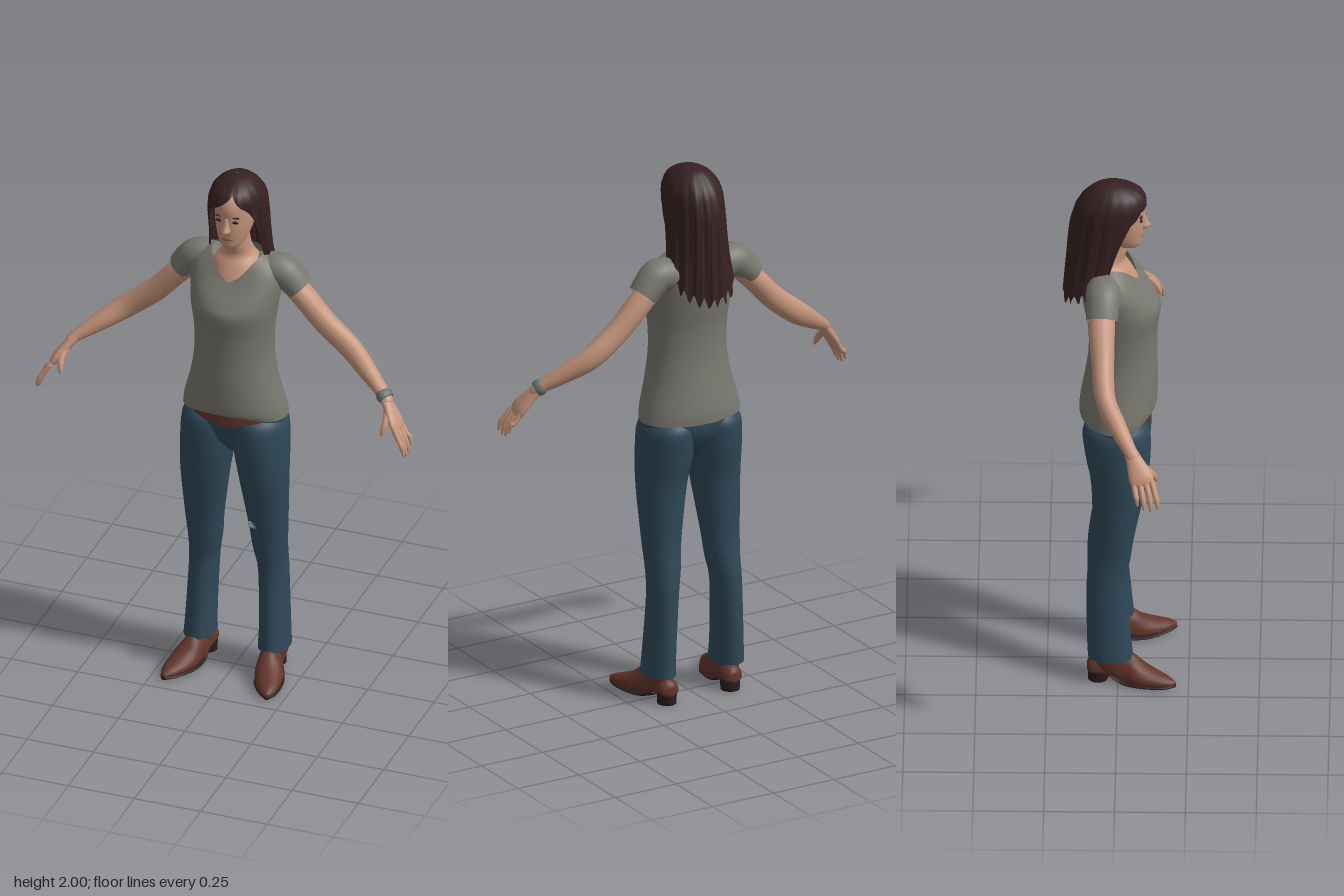
import * as THREE from 'three';

const mat = (name, color, side = THREE.FrontSide) => {
  const m = new THREE.MeshStandardMaterial({ color, side });
  m.name = name;
  return m;
};

// Smooth grid surface; point(i, j) gives a position, columns may wrap round.
function grid(rows, cols, wrap, point, caps = false) {
  const pos = [], idx = [];
  for (let i = 0; i < rows; i++) for (let j = 0; j < cols; j++) pos.push(...point(i, j));
  for (let i = 0; i < rows - 1; i++) {
    for (let j = 0; j < (wrap ? cols : cols - 1); j++) {
      const a = i * cols + j, b = i * cols + (j + 1) % cols, c = a + cols, d = b + cols;
      idx.push(a, c, b, b, c, d);
    }
  }
  if (caps) {
    for (const row of [0, rows - 1]) {
      const centre = [0, 0, 0], k = pos.length / 3;
      for (let j = 0; j < cols; j++) for (let c = 0; c < 3; c++) centre[c] += pos[(row * cols + j) * 3 + c] / cols;
      pos.push(...centre);
      for (let j = 0; j < cols; j++) {
        const a = row * cols + j, b = row * cols + (j + 1) % cols;
        if (row === 0) idx.push(k, a, b); else idx.push(k, b, a);
      }
    }
  }
  const g = new THREE.BufferGeometry();
  g.setAttribute('position', new THREE.Float32BufferAttribute(pos, 3));
  g.setIndex(idx);
  g.computeVertexNormals();
  return g;
}

// Catmull-Rom refinement of a list of cross-sections.
function refine(keys, steps) {
  const out = [], n = keys.length, at = i => keys[Math.min(Math.max(i, 0), n - 1)];
  for (let i = 0; i < n - 1; i++) {
    for (let s = 0; s < steps; s++) {
      const t = s / steps;
      out.push(keys[i].map((_, k) => {
        const [a, b, c, d] = [at(i - 1)[k], at(i)[k], at(i + 1)[k], at(i + 2)[k]];
        return b + 0.5 * t * (c - a + t * (2 * a - 5 * b + 4 * c - d + t * (3 * (b - c) + d - a)));
      }));
    }
  }
  out.push(keys[n - 1]);
  return out;
}

// Sections are [x, y, z, width, front, back, lift]. Without a hint the sections
// lie flat and rise in y; with a hint they stand square to their path.
function loft(keys, { hint = null, n = 28, steps = 5, caps = true } = {}) {
  const rings = refine(keys.map(([x, y, z, a, f, b = f, lift = 0]) => [x, y, z, a, f, b, lift]), steps);
  const centre = rings.map(r => new THREE.Vector3(r[0], r[1], r[2]));
  const frames = rings.map((_, i) => {
    if (!hint) return [new THREE.Vector3(1, 0, 0), new THREE.Vector3(0, 0, 1)];
    const t = centre[Math.min(i + 1, rings.length - 1)].clone().sub(centre[Math.max(i - 1, 0)]).normalize();
    const u = new THREE.Vector3(...hint);
    u.addScaledVector(t, -u.dot(t)).normalize();
    return [u, u.clone().cross(t)];
  });
  return grid(rings.length, n, true, (i, j) => {
    const q = j / n * Math.PI * 2, c = Math.cos(q), s = Math.sin(q), r = rings[i];
    const p = centre[i].clone().addScaledVector(frames[i][0], r[3] * c)
      .addScaledVector(frames[i][1], (s > 0 ? r[4] : r[5]) * s);
    p.y += r[6] * Math.max(0, s) ** 3;
    return p.toArray();
  }, caps);
}

const blob = (x, y, z, rx, ry, rz) => new THREE.SphereGeometry(1, 16, 10).scale(rx, ry, rz).translate(x, y, z);

function mirrored(geometry) {
  const g = geometry.clone().scale(-1, 1, 1), ix = g.index;
  for (let i = 0; i < ix.count; i += 3) {
    const b = ix.getX(i + 1);
    ix.setX(i + 1, ix.getX(i + 2));
    ix.setX(i + 2, b);
  }
  g.computeVertexNormals();
  return g;
}

export function createModel() {
  const model = new THREE.Group();
  model.name = 'woman';
  const skin = mat('skin', 0xc4947a);
  const shirt = mat('greyCotton', 0x78776f, THREE.DoubleSide);
  const denim = mat('denim', 0x2f4858, THREE.DoubleSide);
  const hair = mat('darkHair', 0x352022, THREE.DoubleSide);
  const leather = mat('brownLeather', 0x63352a);
  const dark = mat('darkSole', 0x2a1c1c);
  const lip = mat('lips', 0x9c5f50);
  const metal = mat('bracelet', 0x6c746e);
  const worn = mat('wornDenim', 0x8d989c);

  const add = (name, geometry, material) => {
    const m = new THREE.Mesh(geometry, material);
    m.name = name;
    model.add(m);
  };
  const pair = (name, geometry, material) => {
    add(name + 'Left', geometry, material);
    add(name + 'Right', mirrored(geometry), material);
  };

  // Shirt: scooped neckline and a hem that lifts at the front
  add('shirtBody', loft([
    [0, 1.055, -0.01, 0.194, 0.135, 0.127, 0.03], [0, 1.1, -0.005, 0.186, 0.142, 0.13],
    [0, 1.2, 0, 0.16, 0.14, 0.118], [0, 1.3, 0, 0.145, 0.138, 0.105],
    [0, 1.4, 0, 0.147, 0.14, 0.107], [0, 1.49, 0, 0.158, 0.15, 0.122],
    [0, 1.55, -0.01, 0.165, 0.14, 0.12, -0.02], [0, 1.6, -0.03, 0.17, 0.135, 0.1, -0.04],
    [0, 1.65, -0.04, 0.152, 0.12, 0.085, -0.06], [0, 1.685, -0.04, 0.095, 0.108, 0.06, -0.08],
  ], { n: 40, caps: false }), shirt);
  pair('sleeve', loft([
    [0.08, 1.61, -0.05, 0.06, 0.06], [0.15, 1.622, -0.05, 0.063, 0.06],
    [0.19, 1.595, -0.053, 0.059, 0.056], [0.224, 1.56, -0.055, 0.056, 0.048],
  ], { hint: [0, 0, 1], caps: false }), shirt);

  // Neck and chest
  add('neck', loft([
    [0, 1.54, -0.03, 0.1, 0.12, 0.06], [0, 1.6, -0.035, 0.1, 0.107, 0.07],
    [0, 1.65, -0.04, 0.09, 0.085, 0.06], [0, 1.685, -0.035, 0.06, 0.06, 0.05],
    [0, 1.73, -0.02, 0.048, 0.052, 0.05], [0, 1.8, -0.01, 0.045, 0.045, 0.05],
  ]), skin);

  // Head and face
  add('head', loft([
    [0, 1.735, 0.045, 0.018, 0.022, 0.04], [0, 1.75, 0.03, 0.04, 0.05, 0.06],
    [0, 1.78, 0.015, 0.055, 0.07, 0.08], [0, 1.82, 0, 0.066, 0.09, 0.1],
    [0, 1.86, -0.01, 0.071, 0.1, 0.11], [0, 1.91, -0.015, 0.07, 0.107, 0.11],
    [0, 1.95, -0.02, 0.06, 0.09, 0.095], [0, 1.975, -0.02, 0.03, 0.045, 0.05],
  ]), skin);
  add('nose', loft([
    [0, 1.81, 0.086, 0.01, 0.006], [0, 1.822, 0.088, 0.016, 0.026],
    [0, 1.84, 0.088, 0.011, 0.017], [0, 1.872, 0.086, 0.007, 0.006],
  ], { n: 14 }), skin);
  add('lips', blob(0, 1.785, 0.082, 0.022, 0.007, 0.006), lip);
  pair('eye', blob(0.029, 1.857, 0.081, 0.014, 0.005, 0.005), dark);
  pair('eyebrow', blob(0.03, 1.875, 0.08, 0.018, 0.003, 0.006), hair);

  // Hair: [y, z, width, front, back, face opening, drop at the back]
  const locks = refine([
    [2, -0.02, 0.002, 0.002, 0.002, 0, 0], [1.99, -0.02, 0.04, 0.05, 0.05, 0, 0],
    [1.965, -0.02, 0.075, 0.1, 0.085, 0, 0], [1.93, -0.025, 0.095, 0.127, 0.112, 0.3, 0],
    [1.89, -0.03, 0.102, 0.128, 0.125, 0.75, 0], [1.84, -0.035, 0.104, 0.12, 0.135, 1, 0.02],
    [1.76, -0.05, 0.108, 0.09, 0.13, 1.1, 0.08], [1.69, -0.075, 0.12, 0.09, 0.117, 1.15, 0.16],
  ], 6);
  const strands = 97;
  add('longHair', grid(locks.length, strands, false, (i, j) => {
    const [y, z, w, f, b, openRaw, drop] = locks[i], open = Math.max(0, openRaw);
    const down = i / (locks.length - 1);
    const q = open + (2 * Math.PI - 2 * open) * j / (strands - 1) + 0.25 * Math.max(0, 1 - open);
    const wave = 1 + 0.035 * down * Math.sin(15 * q) + 0.015 * down * Math.sin(37 * q + 9 * down);
    const jag = down ** 8 * 0.018 * Math.sin(21 * q);
    const c = Math.cos(q);
    return [w * wave * Math.sin(q), y - drop * (1 - c) / 2 + jag, z + (c > 0 ? f : b) * wave * c];
  }), hair);

  // Arms, hands and fingers
  const side = { hint: [0, 0, 1], n: 20 };
  pair('arm', loft([
    [0.16, 1.6, -0.055, 0.045, 0.04], [0.235, 1.53, -0.055, 0.046, 0.042],
    [0.32, 1.44, -0.05, 0.04, 0.043], [0.42, 1.36, -0.04, 0.036, 0.042],
    [0.5, 1.305, 0, 0.033, 0.034], [0.585, 1.247, 0.05, 0.024, 0.021], [0.6, 1.23, 0.062, 0.024, 0.018],
  ], side), skin);
  pair('palm', loft([
    [0.575, 1.255, 0.045, 0.022, 0.018], [0.605, 1.22, 0.065, 0.03, 0.018],
    [0.635, 1.18, 0.085, 0.042, 0.018], [0.65, 1.157, 0.095, 0.041, 0.014], [0.656, 1.148, 0.098, 0.03, 0.007],
  ], side), skin);
  [[-1.5, 0.022], [-0.5, 0.004], [0.5, 0], [1.5, 0.01]].forEach(([k, short], i) => {
    pair('finger' + (i + 1), loft([
      [0.645, 1.165, 0.094 + 0.021 * k, 0.011, 0.011], [0.672, 1.125, 0.104 + 0.023 * k, 0.01, 0.01],
      [0.685, 1.095 + short, 0.109 + 0.024 * k, 0.009, 0.009], [0.692, 1.066 + short, 0.112 + 0.024 * k, 0.004, 0.004],
    ], { hint: [0, 0, 1], n: 10, steps: 3 }), skin);
  });
  pair('thumb', loft([
    [0.605, 1.215, 0.078, 0.014, 0.014], [0.613, 1.185, 0.115, 0.013, 0.013],
    [0.609, 1.16, 0.133, 0.011, 0.011], [0.605, 1.138, 0.143, 0.004, 0.004],
  ], { hint: [1, 0, 0], n: 10, steps: 3 }), skin);
  add('bracelet', loft([
    [0.572, 1.258, 0.043, 0.029, 0.026], [0.581, 1.25, 0.049, 0.032, 0.029], [0.592, 1.241, 0.055, 0.029, 0.026],
  ], side), metal);

  // Jeans
  pair('trouserLeg', loft([
    [0.14, 0.1, -0.025, 0.057, 0.08], [0.138, 0.2, -0.032, 0.053, 0.077],
    [0.13, 0.4, -0.04, 0.053, 0.07], [0.122, 0.5, -0.028, 0.061, 0.073],
    [0.12, 0.6, -0.015, 0.07, 0.075], [0.11, 0.8, 0.003, 0.089, 0.097],
    [0.1, 0.92, 0, 0.099, 0.115], [0.094, 1.02, -0.005, 0.099, 0.118, 0.12], [0.085, 1.06, -0.005, 0.085, 0.095],
  ], { caps: false }), denim);
  add('trouserHips', loft([
    [0, 0.9, 0, 0.02, 0.04, 0.05], [0, 0.95, 0, 0.1, 0.085, 0.09],
    [0, 1, -0.005, 0.17, 0.107, 0.112], [0, 1.05, -0.005, 0.188, 0.118, 0.12], [0, 1.08, -0.005, 0.175, 0.11],
  ]), denim);
  add('belt', loft([
    [0, 1.07, -0.005, 0.183, 0.124, 0.118, -0.03], [0, 1.115, -0.005, 0.178, 0.122, 0.11],
  ], { caps: false }), leather);

  // Worn threads at the knees
  for (const [x, y, w] of [[0.09, 0.622, 0.04], [0.098, 0.61, 0.05], [-0.125, 0.625, 0.012], [-0.112, 0.617, 0.01]]) {
    add('kneeWear', new THREE.BoxGeometry(w, 0.008, 0.008).translate(x, y, 0.055), worn);
  }

  // Shoes
  const along = { hint: [1, 0, 0], n: 20 };
  pair('shoe', loft([
    [0.13, 0.05, -0.108, 0.015, 0.015, 0.02], [0.13, 0.05, -0.09, 0.036, 0.022, 0.04],
    [0.135, 0.05, -0.03, 0.04, 0.022, 0.06], [0.143, 0.04, 0.03, 0.045, 0.028, 0.075],
    [0.158, 0.03, 0.08, 0.052, 0.022, 0.05], [0.174, 0.024, 0.13, 0.044, 0.015, 0.032],
    [0.188, 0.02, 0.175, 0.028, 0.012, 0.02], [0.195, 0.018, 0.203, 0.008, 0.006, 0.008],
  ], along), leather);
  pair('ankle', loft([[0.14, 0.05, -0.02, 0.04, 0.05], [0.14, 0.1, -0.025, 0.046, 0.06], [0.14, 0.17, -0.03, 0.044, 0.06]]), leather);
  pair('sole', loft([
    [0.138, 0.03, -0.03, 0.03, 0.006], [0.145, 0.01, 0.02, 0.046, 0.008], [0.158, 0.008, 0.08, 0.054, 0.008],
    [0.174, 0.008, 0.13, 0.046, 0.008], [0.188, 0.009, 0.175, 0.03, 0.008], [0.195, 0.011, 0.204, 0.008, 0.006],
  ], along), dark);
  pair('heel', loft([[0.13, 0, -0.07, 0.034, 0.035], [0.13, 0.045, -0.07, 0.036, 0.036]]), dark);

  return model;
}
